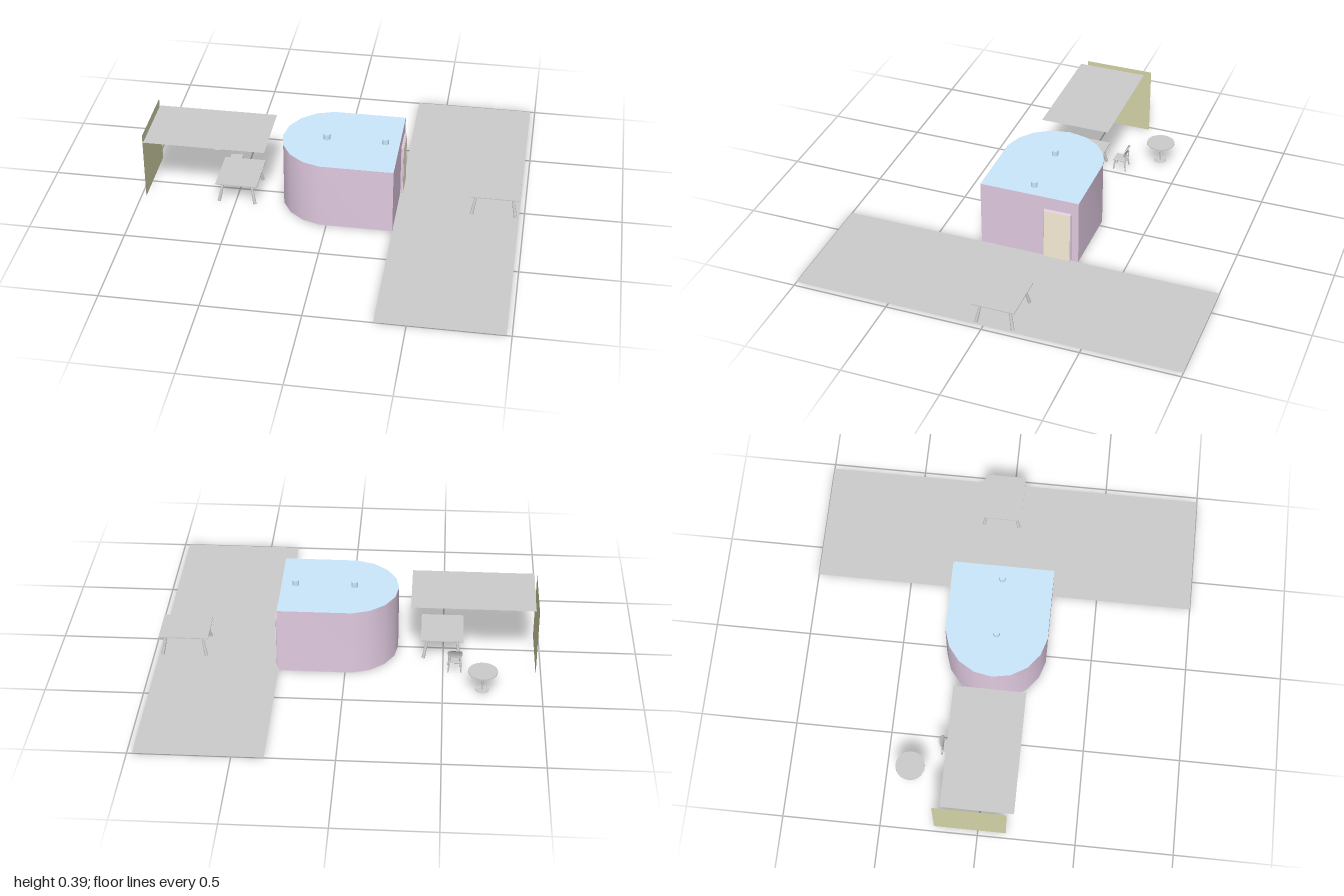
import * as THREE from 'three';
import { toCreasedNormals } from 'three/addons/utils/BufferGeometryUtils.js';
import { RoundedBoxGeometry } from 'three/addons/geometries/RoundedBoxGeometry.js';

const mat = (color) => new THREE.MeshStandardMaterial({ color, side: THREE.DoubleSide });
const grey = mat(0xcccccc), mauve = mat(0xe0cae0), blue = mat(0xcce8fc);
const beige = mat(0xf8eed6), olive = mat(0xd2d2a6);

function add(parent, name, geometry, material, x = 0, y = 0, z = 0) {
  const mesh = new THREE.Mesh(geometry, material);
  mesh.name = name;
  mesh.position.set(x, y, z);
  parent.add(mesh);
  return mesh;
}

function addGroup(parent, name, x, y, z) {
  const group = new THREE.Group();
  group.name = name;
  group.position.set(x, y, z);
  parent.add(group);
  return group;
}

const flat = (w, d) => new THREE.PlaneGeometry(w, d).rotateX(-Math.PI / 2);

// Tapered round bar from a (top) to b (bottom)
function addBar(parent, name, a, b, rTop, rBottom) {
  const top = new THREE.Vector3(...a), bottom = new THREE.Vector3(...b);
  const axis = top.clone().sub(bottom);
  const bar = add(parent, name, new THREE.CylinderGeometry(rTop, rBottom, axis.length(), 12), grey);
  bar.position.copy(top).add(bottom).multiplyScalar(0.5);
  bar.quaternion.setFromUnitVectors(new THREE.Vector3(0, 1, 0), axis.normalize());
}

// Rectangular table with four splayed legs
function addTable(parent, name, x, z, width, depth) {
  const table = addGroup(parent, name, x, 0, z);
  add(table, 'tableTop', new THREE.BoxGeometry(width, 0.005, depth), grey, 0, 0.112, 0);
  for (const sx of [-1, 1]) for (const sz of [-1, 1]) {
    const fx = sx * (width / 2 - 0.014), fz = sz * (depth / 2 - 0.014);
    addBar(table, 'tableLeg', [fx - sx * 0.022, 0.11, fz - sz * 0.022], [fx, 0, fz], 0.006, 0.009);
  }
}

function addChair(parent, x, z) {
  const chair = addGroup(parent, 'chair', x, 0, z);
  add(chair, 'seat', new RoundedBoxGeometry(0.068, 0.008, 0.07, 3, 0.004), grey, 0, 0.06, 0);
  // Rounded backrest, curved around the sitter
  const s = new THREE.Shape();
  s.moveTo(-0.03, 0);
  s.lineTo(0.03, 0);
  s.quadraticCurveTo(0.039, 0.012, 0.038, 0.028);
  s.bezierCurveTo(0.036, 0.062, -0.036, 0.062, -0.038, 0.028);
  s.quadraticCurveTo(-0.039, 0.012, -0.03, 0);
  const back = new THREE.ExtrudeGeometry(s, { depth: 0.006, bevelEnabled: false, curveSegments: 10 });
  const p = back.attributes.position;
  for (let i = 0; i < p.count; i++) {
    p.setZ(i, p.getZ(i) + 10 * p.getX(i) ** 2 - 0.2 * p.getY(i));
  }
  back.computeVertexNormals();
  add(chair, 'backrest', toCreasedNormals(back, 0.6), grey, 0, 0.087, -0.038);
  for (const sx of [-1, 1]) {
    addBar(chair, 'backPost', [sx * 0.022, 0.1, -0.034], [sx * 0.026, 0.06, -0.03], 0.003, 0.003);
    for (const sz of [-1, 1]) {
      addBar(chair, 'chairLeg', [sx * 0.027, 0.058, sz * 0.026], [sx * 0.034, 0, sz * 0.034], 0.0045, 0.0035);
    }
  }
}

function addRoundTable(parent, x, z) {
  const table = addGroup(parent, 'roundTable', x, 0, z);
  add(table, 'roundTableTop', new THREE.CylinderGeometry(0.075, 0.075, 0.004, 40), grey, 0, 0.112, 0);
  add(table, 'pedestal', new THREE.CylinderGeometry(0.004, 0.004, 0.11, 12), grey, 0, 0.056, 0);
  add(table, 'pedestalBase', new THREE.CylinderGeometry(0.031, 0.033, 0.004, 32), grey, 0, 0.002, 0);
}

// D-shaped building: straight end at +x, faceted half round at -x
function addBuilding(parent) {
  const building = addGroup(parent, 'building', 0, 0, 0);
  const outline = new THREE.Shape();
  outline.moveTo(0.342, -0.262);
  outline.lineTo(0.342, 0.262);
  for (let i = 0; i <= 8; i++) {
    const a = Math.PI / 2 + 0.13 + (i / 8) * (Math.PI - 0.26);
    outline.lineTo(0.264 * Math.cos(a), 0.264 * Math.sin(a));
  }
  outline.closePath();
  const shell = new THREE.ExtrudeGeometry(outline, { depth: 0.357, bevelEnabled: false }).rotateX(-Math.PI / 2);
  add(building, 'wallsAndRoof', toCreasedNormals(shell, 0.6), [blue, mauve], 0, 0.002, 0);
  add(building, 'floor', new THREE.ShapeGeometry(outline).rotateX(-Math.PI / 2), grey);

  // Door slab with a pale face
  add(building, 'doorSlab', new RoundedBoxGeometry(0.018, 0.288, 0.148, 3, 0.006), mauve, 0.345, 0.146, -0.151);
  add(building, 'doorPanel', new THREE.BoxGeometry(0.002, 0.28, 0.14), beige, 0.3545, 0.146, -0.151);

  // Roof vents
  for (const x of [-0.035, 0.268]) {
    add(building, 'roofVent', new THREE.CylinderGeometry(0.017, 0.017, 0.03, 20), blue, x, 0.373, 0);
  }
}

export function createModel() {
  const model = new THREE.Group();
  model.name = 'cafePavilion';

  add(model, 'terrace', flat(0.632, 2), grey, 0.658, 0, 0);
  addBuilding(model);

  // Side awning and its end screen
  add(model, 'awning', flat(0.63, 0.368), grey, -0.645, 0.358, -0.003);
  add(model, 'endScreen', new THREE.PlaneGeometry(0.37, 0.375).rotateY(-Math.PI / 2), olive, -0.974, 0.1875, -0.04);

  // Furniture
  addTable(model, 'terraceTable', 0.842, -0.051, 0.256, 0.218);
  addTable(model, 'awningTable', -0.492, 0.013, 0.218, 0.256);
  addChair(model, -0.56, -0.195);
  addRoundTable(model, -0.7, -0.375);
  return model;
}
